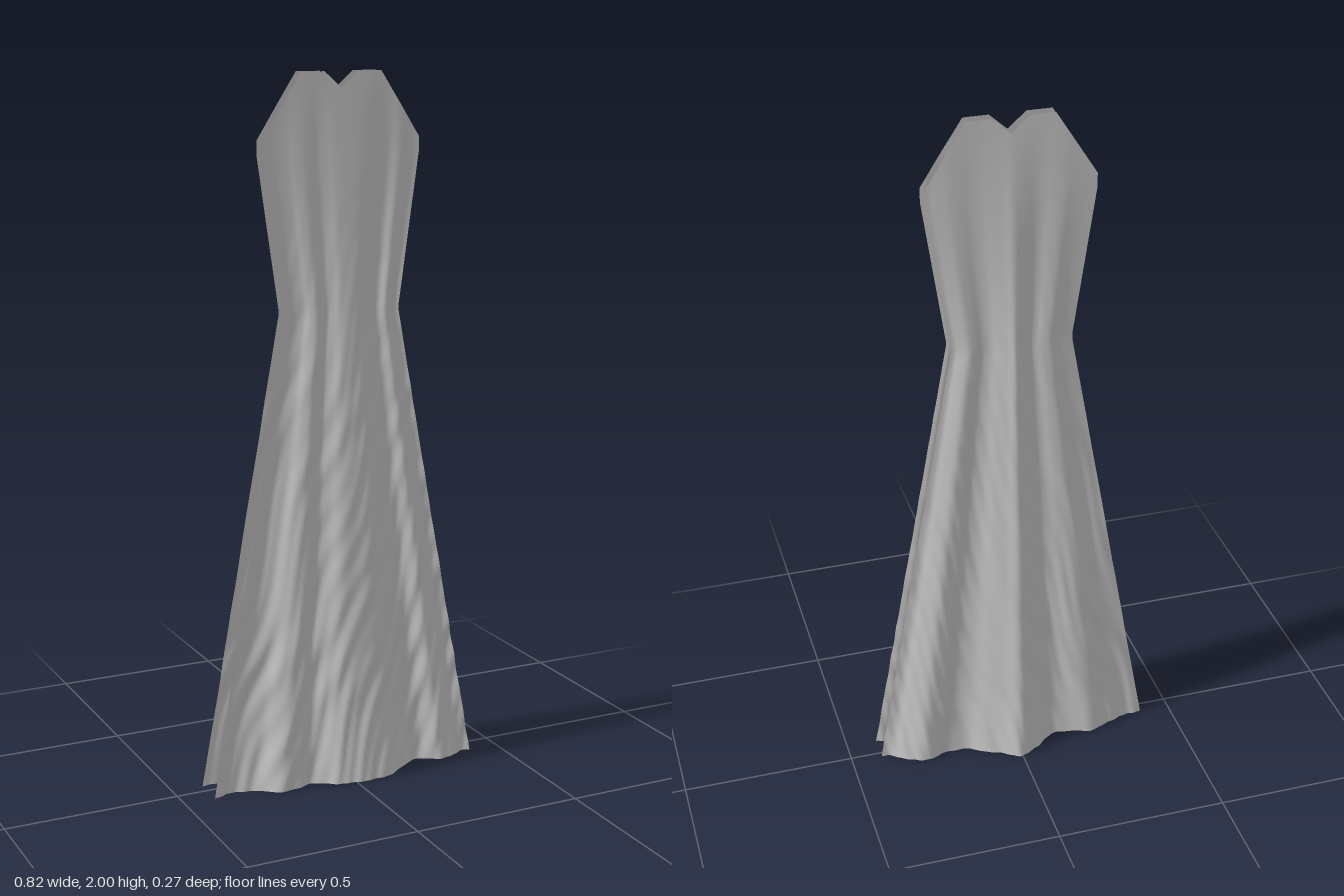
import * as THREE from 'three';

const COLS = 94, BODY_ROWS = 110, TOP_ROWS = 14;
const BUST_Y = 1.78, BUST_W = 0.235;

// Piecewise linear lookup in [key, value] pairs
function lookup(pairs, k) {
  for (let i = 1; i < pairs.length; i++) {
    const [a, va] = pairs[i - 1], [b, vb] = pairs[i];
    if (k <= b) return va + (vb - va) * Math.max(0, (k - a) / (b - a));
  }
  return pairs[pairs.length - 1][1];
}

// Outline: half width by height, and the notched neckline by |x|
const halfWidth = [[0, 0.41], [1.35, 0.17], [BUST_Y, BUST_W]];
const neckline = [[0, 1.955], [0.05, 2], [0.12, 2], [BUST_W, 1.82]];
// How strongly the hem folds show at each height
const foldStrength = [[0, 1], [0.2, 0.85], [1, 0.48], [1.4, 0.33], [1.7, 0.17], [2, 0]];

// Hem folds as [x, z], smoothed by a curve
function hemCurve(points) {
  const samples = new THREE.SplineCurve(points.map(p => new THREE.Vector2(...p))).getPoints(200);
  return samples.map(p => [p.x, p.y]);
}
const frontHem = hemCurve([
  [-0.41, 0.06], [-0.35, 0.046], [-0.29, 0.06], [-0.25, 0.088], [-0.21, 0.104], [-0.17, 0.098],
  [-0.13, 0.083], [-0.09, 0.098], [-0.04, 0.125], [0.04, 0.134], [0.1, 0.128], [0.15, 0.102],
  [0.2, 0.064], [0.25, 0.056], [0.3, 0.085], [0.35, 0.07], [0.38, 0.054], [0.41, 0.059]]);
const backHem = hemCurve([
  [-0.41, -0.032], [-0.35, -0.04], [-0.3, -0.055], [-0.25, -0.077], [-0.2, -0.074], [-0.15, -0.058],
  [-0.11, -0.064], [-0.05, -0.107], [0, -0.134], [0.05, -0.11], [0.1, -0.085], [0.15, -0.058],
  [0.2, -0.05], [0.25, -0.064], [0.3, -0.069], [0.35, -0.043], [0.38, -0.022], [0.41, -0.017]]);

// Fine slanting wrinkles that fade toward the top
function wrinkle(x, y) {
  const s = x * 1.0 - y * 0.3;
  const fade = Math.max(0, 1 - y / 1.7);
  return fade * (0.0022 * Math.sin(s * 75 + 2 * Math.sin(y * 9))
    + 0.0015 * Math.sin(s * 140 + 3 * Math.sin(x * 17 + y * 5)));
}

function panel(name, hem, topZ, facing) {
  const pos = [], index = [];
  const rows = BODY_ROWS + TOP_ROWS;
  for (let r = 0; r <= rows; r++) {
    for (let c = 0; c <= COLS; c++) {
      const u = (c / COLS) * 2 - 1;
      let x, y;
      if (r <= BODY_ROWS) {
        y = BUST_Y * r / BODY_ROWS;
        x = u * lookup(halfWidth, y);
      } else {
        x = u * BUST_W;
        y = BUST_Y + (lookup(neckline, Math.abs(x)) - BUST_Y) * (r - BODY_ROWS) / TOP_ROWS;
      }
      const k = lookup(foldStrength, y);
      const z = topZ + (lookup(hem, u * 0.41) - topZ) * k + wrinkle(x, y) * facing;
      pos.push(x, y, z);
      if (r < rows && c < COLS) {
        const a = r * (COLS + 1) + c, b = a + 1, d = a + COLS + 1, e = d + 1;
        if (facing > 0) index.push(a, b, e, a, e, d);
        else index.push(a, e, b, a, d, e);
      }
    }
  }
  const geo = new THREE.BufferGeometry();
  geo.setAttribute('position', new THREE.Float32BufferAttribute(pos, 3));
  geo.setIndex(index);
  geo.computeVertexNormals();
  const mesh = new THREE.Mesh(geo, new THREE.MeshStandardMaterial({ color: 0xcccccc, side: THREE.DoubleSide }));
  mesh.name = name;
  return mesh;
}

export function createModel() {
  const gown = new THREE.Group();
  gown.name = 'gown';
  gown.add(panel('frontPanel', frontHem, 0.026, 1));
  gown.add(panel('backPanel', backHem, -0.006, -1));
  return gown;
}
